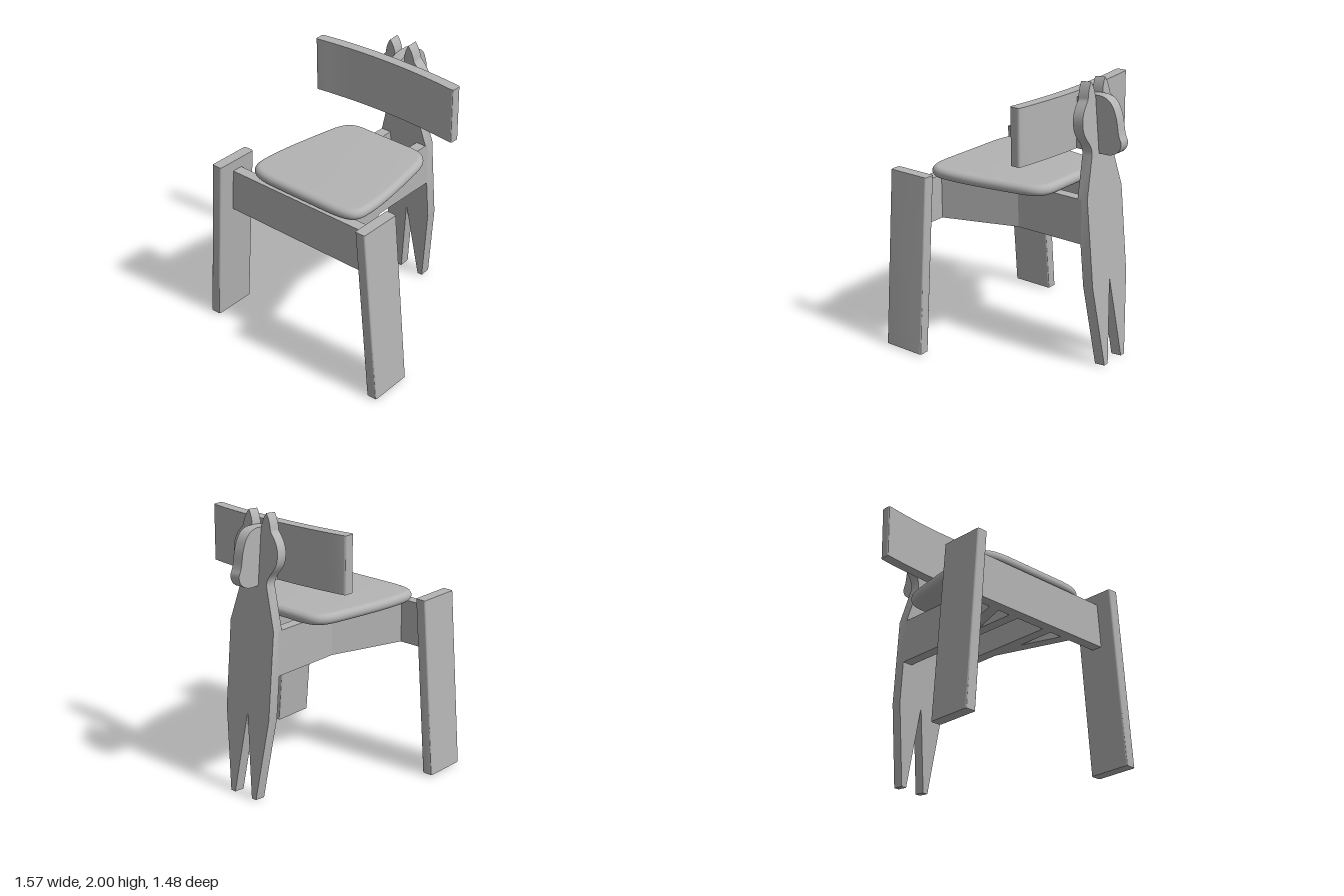
import * as THREE from 'three';
import { toCreasedNormals } from 'three/addons/utils/BufferGeometryUtils.js';

const greyWood = new THREE.MeshStandardMaterial({ color: 0xb4b4b4 });
greyWood.name = 'grey wood';

function addMesh(group, name, geometry) {
  const mesh = new THREE.Mesh(toCreasedNormals(geometry, 0.6), greyWood);
  mesh.name = name;
  group.add(mesh);
  return mesh;
}

const polygon = (points) => new THREE.Shape(points.map(([x, y]) => new THREE.Vector2(x, y)));

// Extrudes a plan outline, drawn as (x, -z), upwards from y0 to y1
function plan(shape, y0, y1, bevel = 0) {
  const geometry = new THREE.ExtrudeGeometry(shape, {
    depth: y1 - y0 - 2 * bevel, curveSegments: 16, bevelEnabled: bevel > 0,
    bevelThickness: bevel, bevelSize: bevel, bevelOffset: -bevel, bevelSegments: 6,
  });
  return geometry.rotateX(-Math.PI / 2).translate(0, y0 + bevel, 0);
}

function roundedRect(w, h, r) {
  const s = new THREE.Shape();
  const x = w / 2, y = h / 2;
  s.moveTo(-x + r, -y);
  s.lineTo(x - r, -y).quadraticCurveTo(x, -y, x, -y + r);
  s.lineTo(x, y - r).quadraticCurveTo(x, y, x - r, y);
  s.lineTo(-x + r, y).quadraticCurveTo(-x, y, -x, y - r);
  s.lineTo(-x, -y + r).quadraticCurveTo(-x, -y, -x + r, -y);
  return s;
}

// Front leg: an upright board leaning outwards towards the floor
function frontLeg(side) {
  const geometry = plan(roundedRect(0.08, 0.32, 0.012), 0.01, 1.3);
  const p = geometry.attributes.position;
  for (let i = 0; i < p.count; i++) {
    p.setX(i, p.getX(i) + side * (0.745 - 0.105 * (p.getY(i) - 0.01) / 1.29));
  }
  geometry.translate(0, 0, 0.58);
  geometry.computeVertexNormals();
  return geometry;
}

// Tapered seat with soft edges
function seat() {
  const s = new THREE.Shape();
  s.moveTo(0, -0.615);
  s.lineTo(0.25, -0.615);
  s.bezierCurveTo(0.42, -0.61, 0.48, -0.58, 0.483, -0.46);
  s.bezierCurveTo(0.487, -0.3, 0.45, -0.1, 0.41, 0.12);
  s.bezierCurveTo(0.385, 0.27, 0.35, 0.335, 0.22, 0.34);
  s.lineTo(-0.22, 0.34);
  s.bezierCurveTo(-0.35, 0.335, -0.385, 0.27, -0.41, 0.12);
  s.bezierCurveTo(-0.45, -0.1, -0.487, -0.3, -0.483, -0.46);
  s.bezierCurveTo(-0.48, -0.58, -0.42, -0.61, -0.25, -0.615);
  s.lineTo(0, -0.615);
  return plan(s, 1.222, 1.302, 0.039);
}

// Curved backrest board with rounded ends
function backrest() {
  const s = new THREE.Shape();
  s.moveTo(-0.588, 0.258);
  s.quadraticCurveTo(0, 0.342, 0.588, 0.258);
  s.quadraticCurveTo(0.604, 0.256, 0.605, 0.272);
  s.lineTo(0.605, 0.318);
  s.quadraticCurveTo(0.605, 0.332, 0.59, 0.336);
  s.quadraticCurveTo(0, 0.42, -0.59, 0.336);
  s.quadraticCurveTo(-0.605, 0.332, -0.605, 0.318);
  s.lineTo(-0.605, 0.272);
  s.quadraticCurveTo(-0.604, 0.256, -0.588, 0.258);
  return plan(s, 1.51, 1.91);
}

// Leaning animal-shaped back panel: two feet, body, neck, head and ears
function backPanel() {
  const s = new THREE.Shape();
  s.moveTo(0, 0.61);
  s.lineTo(0.08, 0);
  s.lineTo(0.12, 0);
  s.lineTo(0.2, 0.6);
  s.lineTo(0.2, 1.225);
  s.lineTo(0.118, 1.51);
  s.bezierCurveTo(0.1, 1.6, 0.2, 1.62, 0.2, 1.73);
  s.bezierCurveTo(0.2, 1.8, 0.17, 1.84, 0.125, 1.89);
  s.quadraticCurveTo(0.115, 1.96, 0.08, 2.005);
  s.quadraticCurveTo(0.045, 1.96, 0.04, 1.89);
  const right = s.getPoints(10);
  const left = right.slice(1).reverse().map((v) => new THREE.Vector2(-v.x, v.y));
  const geometry = new THREE.ExtrudeGeometry(new THREE.Shape([...right, ...left]), { depth: 0.08, bevelEnabled: false });
  return geometry.translate(0, 0, -0.08).rotateX(0.0873).translate(0, 0, -0.615);
}

// Muzzle plate standing behind the backrest, drawn as (-z, y)
function muzzle() {
  const s = new THREE.Shape();
  s.moveTo(0.37, 1.51);
  s.lineTo(0.63, 1.51);
  s.bezierCurveTo(0.7, 1.515, 0.75, 1.56, 0.738, 1.62);
  s.bezierCurveTo(0.705, 1.67, 0.715, 1.74, 0.69, 1.8);
  s.bezierCurveTo(0.665, 1.88, 0.62, 1.91, 0.55, 1.908);
  s.bezierCurveTo(0.48, 1.905, 0.43, 1.9, 0.37, 1.865);
  const geometry = new THREE.ExtrudeGeometry(s, { depth: 0.08, bevelEnabled: false, curveSegments: 10 });
  return geometry.translate(0, 0, -0.04).rotateY(Math.PI / 2);
}

export function createModel() {
  const group = new THREE.Group();
  group.name = 'chair';

  addMesh(group, 'seat', seat());
  addMesh(group, 'backrest', backrest());
  addMesh(group, 'backPanel', backPanel());
  addMesh(group, 'muzzle', muzzle());
  addMesh(group, 'frontRail', new THREE.BoxGeometry(1.26, 0.32, 0.078).translate(0, 1.06, 0.577));

  // Forked rails: a straight beam and a diagonal branch on each side
  for (const side of [1, -1]) {
    const name = side > 0 ? 'left' : 'right';
    addMesh(group, name + 'FrontLeg', frontLeg(side));
    addMesh(group, name + 'Rail', plan(polygon([
      [side * 0.12, 0.54], [side * 0.2, 0.54], [side * 0.2, -0.55], [side * 0.12, -0.55],
    ]), 0.9, 1.22));
    addMesh(group, name + 'RailBranch', plan(polygon([
      [side * 0.2, 0], [side * 0.39, -0.55], [side * 0.305, -0.55], [side * 0.15, -0.1], [side * 0.15, 0],
    ]), 0.9, 1.22));
  }
  return group;
}
